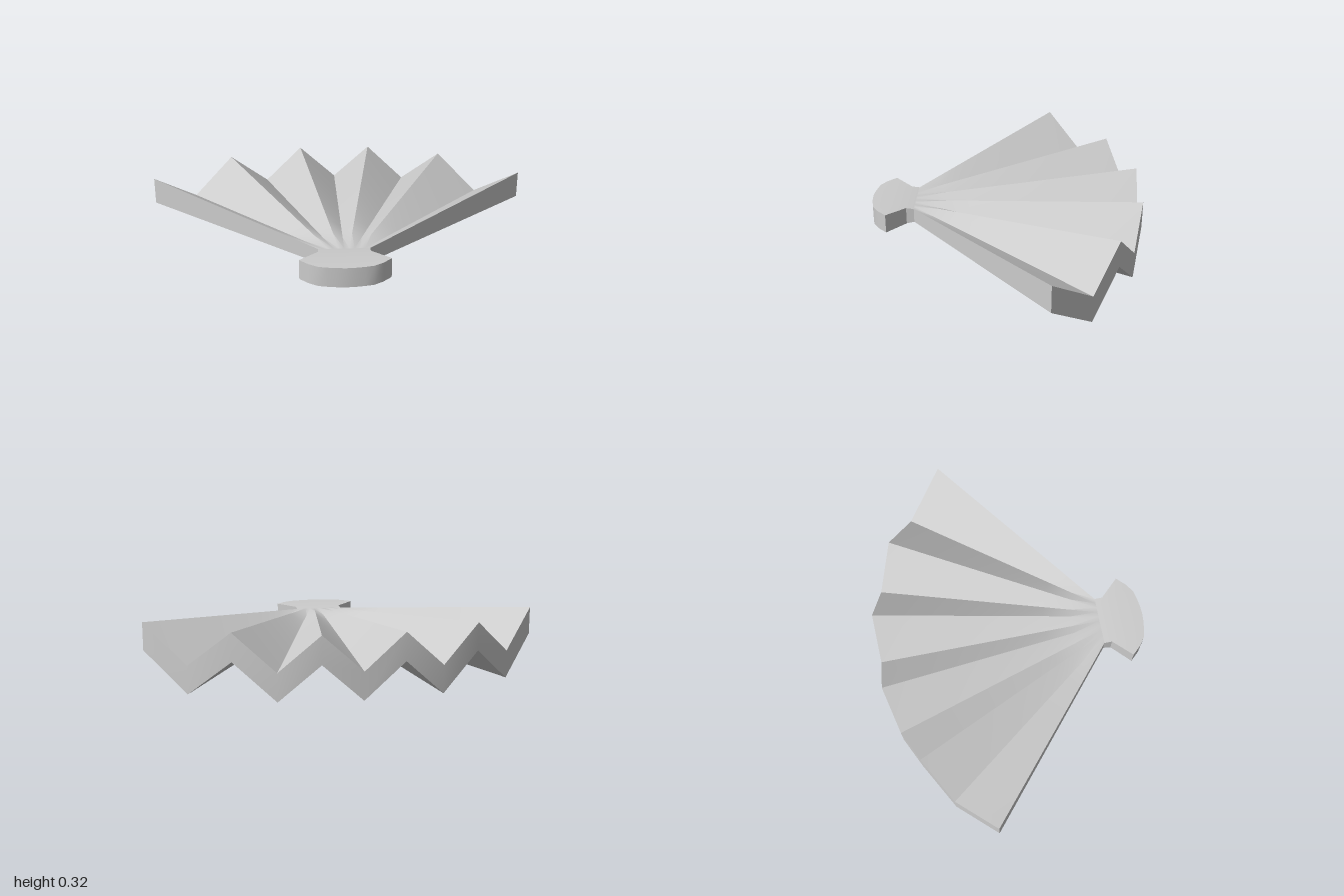
import * as THREE from 'three';
import { toCreasedNormals } from 'three/addons/utils/BufferGeometryUtils.js';

const COLS = 10; // pleat panels across the fan
const material = new THREE.MeshStandardMaterial({ color: 0xcccccc });

// Row of columns from left edge to right edge; each entry is [x, z, bottom, top]
const row = (fn) => Array.from({ length: COLS + 1 }, (_, c) => fn(c, (c - COLS / 2) / (COLS / 2)));

// Solid slab lofted through rows that run from back to front
function slab(rows, name, capBack, capFront) {
  const pos = [];
  const top = ([x, z, , t]) => [x, t, z];
  const bottom = ([x, z, b]) => [x, b, z];
  const quad = (a, b, c, d) => pos.push(...a, ...b, ...c, ...a, ...c, ...d);
  // wall under the edge p -> q, facing right of the direction of travel
  const wall = (p, q) => quad(bottom(p), bottom(q), top(q), top(p));

  for (let r = 0; r < rows.length - 1; r++) {
    const A = rows[r], B = rows[r + 1];
    for (let c = 0; c < COLS; c++) {
      quad(top(A[c]), top(B[c]), top(B[c + 1]), top(A[c + 1]));
      quad(bottom(A[c]), bottom(A[c + 1]), bottom(B[c + 1]), bottom(B[c]));
    }
    wall(A[0], B[0]);
    wall(B[COLS], A[COLS]);
  }
  const back = rows[0], front = rows[rows.length - 1];
  for (let c = 0; c < COLS; c++) {
    if (capBack) wall(back[c + 1], back[c]);
    if (capFront) wall(front[c], front[c + 1]);
  }
  const geometry = new THREE.BufferGeometry();
  geometry.setAttribute('position', new THREE.Float32BufferAttribute(pos, 3));
  const mesh = new THREE.Mesh(toCreasedNormals(geometry, 0.6), material);
  mesh.name = name;
  return mesh;
}

export function createModel() {
  const group = new THREE.Group();
  group.name = 'foldedFan';

  // Outer zigzag rim, and the flat gathered end of the pleats
  const rimZ = [-0.705, -0.705, -0.655, -0.565, -0.435, -0.24];
  const rim = row((c, u) => {
    const base = c % 2 ? 0 : 0.18;
    return [u, rimZ[Math.abs(c - 5)], base, base + 0.14];
  });
  const gather = row((c, u) => [u * 0.127, 0.47, 0.145, 0.22]);

  // Pleats flatten gradually from the rim to the gather
  const steps = 8;
  const pleatRows = Array.from({ length: steps + 1 }, (_, r) =>
    row((c) => rim[c].map((v, k) => THREE.MathUtils.lerp(v, gather[c][k], r / steps))));
  group.add(slab(pleatRows, 'pleats', true, false));

  // Grip: short neck flaring into a rounded end
  const endZ = [0.7, 0.697, 0.69, 0.68, 0.65, 0.605];
  group.add(slab([
    gather,
    row((c, u) => [u * 0.127, 0.51, 0.135, 0.225]),
    row((c, u) => [u * 0.22, 0.605, 0.13, 0.23]),
    row((c, u) => [u * 0.22, endZ[Math.abs(c - 5)], 0.13, 0.23]),
  ], 'grip', false, true));

  return group;
}
